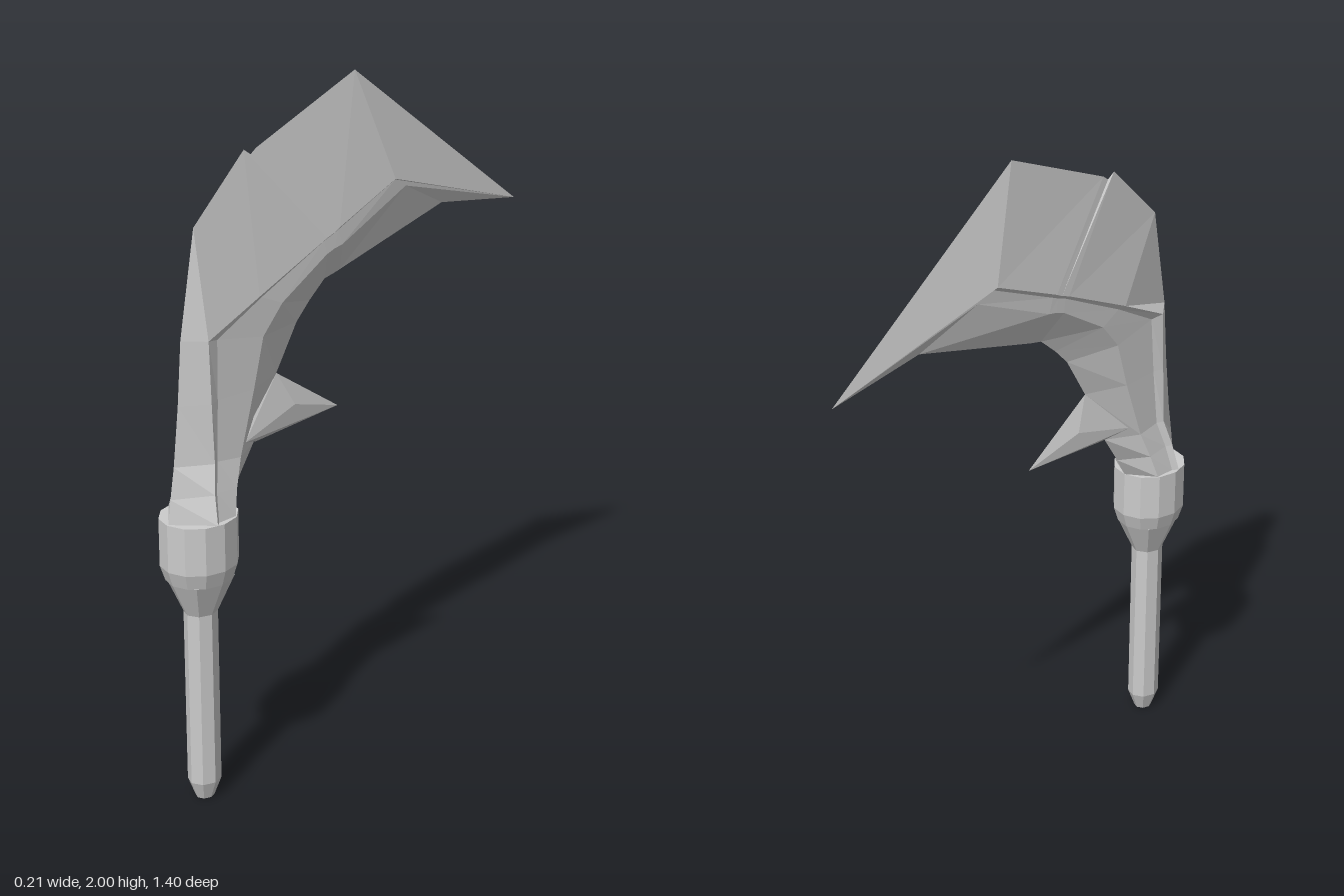
import * as THREE from 'three';
import { ConvexGeometry } from 'three/addons/geometries/ConvexGeometry.js';

const material = new THREE.MeshStandardMaterial({ color: 0xcccccc, flatShading: true });
const AXIS_Z = 0.59; // centre line of the handle

// Faceted turned part from [radius, y] pairs, slightly narrower in x
function turned(name, profile, sides) {
  const points = profile.map(([r, y]) => new THREE.Vector2(r, y));
  const mesh = new THREE.Mesh(new THREE.LatheGeometry(points, sides), material);
  mesh.name = name;
  mesh.scale.x = 0.91;
  mesh.position.z = AXIS_Z;
  return mesh;
}

// Half section: [outer z, y], ridge [z, y, x], lower shoulder [z, y, x], [inner z, y]
const sections = [
  [[0.70, 0.87], [0.61, 0.87, 0.100], [0.53, 0.87, 0.085], [0.475, 0.87]],
  [[0.69, 0.94], [0.60, 0.95, 0.080], [0.51, 0.94, 0.070], [0.44, 0.93]],
  [[0.675, 1.03], [0.58, 1.03, 0.060], [0.48, 1.02, 0.055], [0.38, 1.02]],
  [[0.655, 1.20], [0.58, 1.20, 0.052], [0.42, 1.20, 0.048], [0.29, 1.20]],
  [[0.64, 1.38], [0.58, 1.375, 0.045], [0.38, 1.34, 0.045], [0.21, 1.33]],
  [[0.585, 1.68], [0.40, 1.46, 0.054], [0.31, 1.42, 0.048], [0.16, 1.38]],
  [[0.40, 1.855], [0.15, 1.57, 0.060], [0.14, 1.52, 0.050], [0.10, 1.43]],
  [[0.375, 1.838], [0.12, 1.58, 0.060], [0.11, 1.53, 0.050], [0.06, 1.438]],
  [[0.355, 1.852], [0.10, 1.59, 0.060], [0.08, 1.535, 0.050], [0.04, 1.443]],
  [[-0.02, 2.0], [-0.13, 1.68, 0.052], [-0.19, 1.645, 0.035], [-0.38, 1.55]],
];

// Closed ring for a section: a stepped ledge under the ridge, mirrored in x
function ringOf([outer, ridge, lower, inner]) {
  const r = new THREE.Vector3(ridge[2], ridge[1], ridge[0]);
  const l = new THREE.Vector3(lower[2], lower[1], lower[0]);
  const ledge = r.clone().lerp(l, 0.2);
  ledge.x -= 0.01;
  const side = [r, ledge, l];
  const mirrored = side.map(p => new THREE.Vector3(-p.x, p.y, p.z)).reverse();
  return [
    new THREE.Vector3(0, outer[1], outer[0]), ...side,
    new THREE.Vector3(0, inner[1], inner[0]), ...mirrored,
  ];
}

// Curved blade lofted through the sections and closed to a sharp tip
function bladeGeometry() {
  const rings = sections.map(ringOf);
  const n = rings[0].length;
  const tip = new THREE.Vector3(0, 1.5, -0.7);
  const root = new THREE.Vector3(0, 0.87, AXIS_Z);
  const corners = [];
  for (let j = 0; j < n; j++) {
    const k = (j + 1) % n;
    corners.push(root, rings[0][k], rings[0][j]);
    for (let i = 0; i < rings.length - 1; i++) {
      const a = rings[i][j], b = rings[i][k], c = rings[i + 1][k], d = rings[i + 1][j];
      corners.push(a, b, d, b, c, d);
    }
    const last = rings[rings.length - 1];
    corners.push(last[j], last[k], tip);
  }
  const geometry = new THREE.BufferGeometry().setFromPoints(corners);
  geometry.computeVertexNormals();
  return geometry;
}

// Back-pointing barb on the inner curve
function barbGeometry() {
  const points = [
    new THREE.Vector3(0, 1.20, 0.29),
    new THREE.Vector3(0, 1.02, 0.37),
    new THREE.Vector3(0, 1.04, 0.05),
    new THREE.Vector3(0, 1.12, 0.50),
  ];
  for (const s of [-1, 1]) {
    points.push(new THREE.Vector3(s * 0.042, 1.05, 0.45));
    points.push(new THREE.Vector3(s * 0.022, 1.10, 0.24));
  }
  return new ConvexGeometry(points);
}

export function createModel() {
  const group = new THREE.Group();
  group.name = 'curvedBladeWeapon';

  // Handle with a bevelled foot and a flare under the collar
  group.add(turned('handle',
    [[0, 0], [0.028, 0], [0.05, 0.055], [0.05, 0.58], [0.1, 0.685], [0, 0.685]], 8));

  // Collar holding the blade
  group.add(turned('collar',
    [[0, 0.685], [0.1, 0.685], [0.115, 0.73], [0.115, 0.87], [0, 0.872]], 12));

  const blade = new THREE.Mesh(bladeGeometry(), material);
  blade.name = 'blade';
  const barb = new THREE.Mesh(barbGeometry(), material);
  barb.name = 'barb';
  group.add(blade, barb);
  return group;
}
